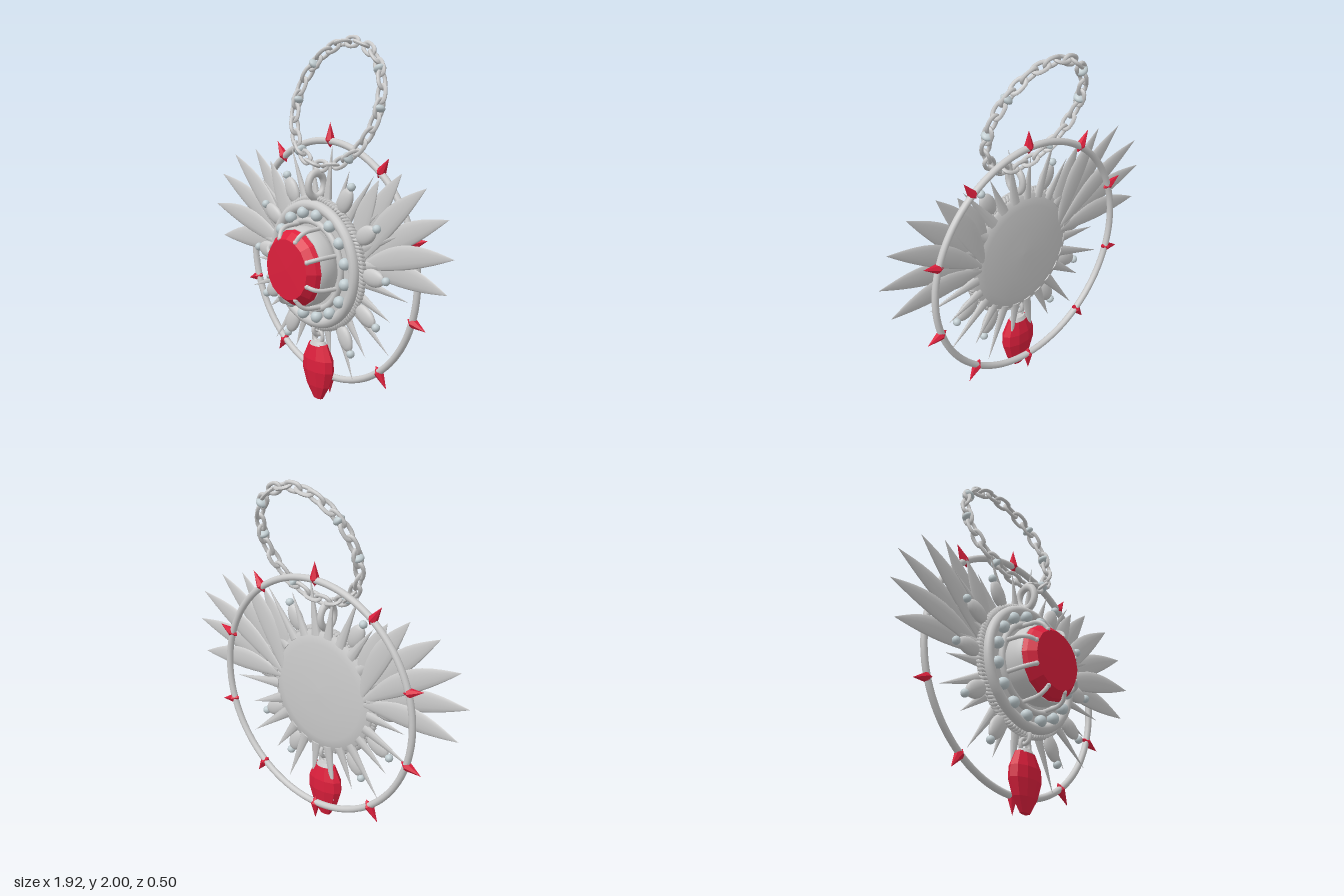
import * as THREE from 'three';

const silver = new THREE.MeshStandardMaterial({ color: 0xcccccc });
const pale = new THREE.MeshStandardMaterial({ color: 0xc2ced2 });
const red = new THREE.MeshStandardMaterial({ color: 0xdc1f3c, flatShading: true });
const V = (x, y, z = 0) => new THREE.Vector3(x, y, z);

function add(parent, name, geo, mat = silver, pos = [0, 0, 0]) {
  const m = new THREE.Mesh(geo, mat);
  m.name = name;
  m.position.set(...pos);
  parent.add(m);
  return m;
}

// Lathe around the z axis from [radius, z] pairs, back to front
const latheZ = (pts, seg = 64) =>
  new THREE.LatheGeometry(pts.map(p => new THREE.Vector2(p[0], p[1])), seg).rotateX(Math.PI / 2);

// Calls fn with a pivot turned by each of n even angles
function around(parent, n, start, fn) {
  for (let i = 0; i < n; i++) {
    const pivot = new THREE.Group();
    pivot.rotation.z = start + (i / n) * Math.PI * 2;
    parent.add(pivot);
    fn(pivot, i);
  }
}

// Pointed leaf along +x, fattest near the middle, arched sideways by bend
function leaf(length, width, thick, bend) {
  const g = new THREE.SphereGeometry(1, 12, 16).rotateZ(-Math.PI / 2);
  const p = g.attributes.position;
  for (let i = 0; i < p.count; i++) {
    const t = THREE.MathUtils.clamp((p.getX(i) + 1) / 2, 0, 1);
    const r = Math.hypot(p.getY(i), p.getZ(i)) || 1;
    const w = Math.sin(Math.PI * t) * (0.92 + 0.16 * t);
    p.setXYZ(i, t * length,
      (p.getY(i) / r) * w * width / 2 + bend * Math.sin(Math.PI * t),
      (p.getZ(i) / r) * w * thick / 2);
  }
  g.computeVertexNormals();
  return g;
}

// Helical strand wound round a ring
function strand(R, r, turns, phase, z) {
  const pts = [];
  const n = turns * 6;
  for (let i = 0; i < n; i++) {
    const a = (i / n) * Math.PI * 2, b = a * turns + phase;
    const q = R + r * Math.cos(b);
    pts.push(V(q * Math.cos(a), q * Math.sin(a), z + r * Math.sin(b)));
  }
  return new THREE.TubeGeometry(new THREE.CatmullRomCurve3(pts, true), n, 0.012, 5, true);
}

function medallion() {
  const g = new THREE.Group();
  g.name = 'medallion';
  add(g, 'backPlate', latheZ([[0, -0.025], [0.15, -0.022], [0.28, -0.012], [0.345, 0.0], [0.355, 0.02], [0.345, 0.05], [0.3, 0.06], [0, 0.062]]));
  add(g, 'outerRim', new THREE.TorusGeometry(0.322, 0.03, 12, 72), silver, [0, 0, 0.065]);
  add(g, 'innerRim', new THREE.TorusGeometry(0.242, 0.018, 10, 64), silver, [0, 0, 0.085]);
  for (let k = 0; k < 2; k++) add(g, 'ropeStrand', strand(0.352, 0.013, 55, k * Math.PI, 0.035));
  around(g, 16, Math.PI / 16, p =>
    add(p, 'rimBead', new THREE.SphereGeometry(0.033, 14, 10), pale, [0.285, 0, 0.09]));

  // Stone in its cup, held by eight claws
  add(g, 'stoneCup', latheZ([[0.19, 0.06], [0.205, 0.08], [0.216, 0.11], [0.217, 0.15], [0.21, 0.185], [0.2, 0.19], [0.18, 0.17]]));
  add(g, 'mainStone', latheZ([[0.1, 0.1], [0.195, 0.165], [0.208, 0.19], [0.198, 0.215], [0.165, 0.255], [0, 0.257]], 16), red);
  const claw = new THREE.CatmullRomCurve3([V(0.235, 0, 0.07), V(0.232, 0, 0.13), V(0.226, 0, 0.19), V(0.205, 0, 0.225), V(0.17, 0, 0.245)]);
  around(g, 8, Math.PI / 8, p => {
    add(p, 'claw', new THREE.TubeGeometry(claw, 16, 0.012, 8));
    add(p, 'clawTip', new THREE.SphereGeometry(0.014, 8, 8), silver, [0.17, 0, 0.245]);
  });

  // Petals ending in small beads
  around(g, 12, 0, (p, i) => {
    if (i === 3 || i === 9) return;
    add(p, 'petal', new THREE.SphereGeometry(1, 16, 12).scale(0.08, 0.048, 0.025), silver, [0.43, 0, 0.03]);
    add(p, 'petalBead', new THREE.SphereGeometry(0.023, 12, 8), pale, [0.522, 0, 0.03]);
  });

  // Thin spikes of two lengths behind the petals
  around(g, 24, Math.PI / 24, (p, i) => {
    const len = i % 2 ? 0.34 : 0.25;
    const cone = new THREE.ConeGeometry(0.034, len, 8).rotateZ(-Math.PI / 2).scale(1, 1, 0.5);
    add(p, 'spike', cone, silver, [0.325 + len / 2, 0, 0.005]);
  });
  return g;
}

function wing() {
  const g = new THREE.Group();
  const root = V(0.26, 0.01);
  const tips = [[0.91, 0.0], [0.96, 0.19], [0.91, 0.375], [0.77, 0.51], [0.59, 0.56], [0.44, 0.51]];
  tips.forEach(([x, y], i) => {
    const d = V(x, y).sub(root);
    const f = add(g, 'feather', leaf(d.length(), 0.125, 0.028, 0.035), silver, [root.x, root.y, (i % 2) * 0.012 - 0.006]);
    f.rotation.z = Math.atan2(d.y, d.x);
  });
  return g;
}

function halo() {
  const g = new THREE.Group();
  g.name = 'halo';
  add(g, 'haloRing', new THREE.TorusGeometry(0.662, 0.019, 12, 96));
  const dart = new THREE.LatheGeometry([[0, -0.04], [0.028, 0], [0, 0.097]].map(p => new THREE.Vector2(...p)), 6).rotateZ(-Math.PI / 2);
  around(g, 10, Math.PI / 2, p => add(p, 'haloDart', dart, red, [0.666, 0, 0]));
  return g;
}

function chain() {
  const g = new THREE.Group();
  g.name = 'chain';
  const n = 28, a = 0.325, b = 0.343;
  const place = (m, t) => {
    m.position.set(a * Math.cos(t), b * Math.sin(t), 0);
    m.rotation.z = Math.atan2(b * Math.cos(t), -a * Math.sin(t));
  };
  const link = new THREE.TorusGeometry(0.027, 0.0105, 8, 20);
  const p = link.attributes.position;
  for (let i = 0; i < p.count; i++) p.setX(i, p.getX(i) + Math.tanh(p.getX(i) * 60) * 0.022);
  link.computeVertexNormals();
  for (let i = 0; i < n; i++) {
    const holder = new THREE.Group();
    place(holder, -Math.PI / 2 + (i / n) * Math.PI * 2);
    g.add(holder);
    add(holder, 'chainLink', link).rotation.x = i % 2 ? Math.PI / 2 : 0;
  }
  for (const deg of [37, 0, -54, 143, 180, 234])
    place(add(g, 'chainBead', new THREE.SphereGeometry(1, 14, 10).scale(0.021, 0.034, 0.034), pale), deg * Math.PI / 180);
  g.position.set(0, 1.645, -0.1);
  g.rotation.x = -0.33;
  return g;
}

function drop() {
  const g = new THREE.Group();
  g.name = 'drop';
  const profile = [[0, 0.008], [0.035, 0.018], [0.085, 0.095], [0.115, 0.185], [0.112, 0.25], [0.07, 0.335], [0, 0.337]];
  const stone = new THREE.LatheGeometry(profile.map(p => new THREE.Vector2(...p)), 10).rotateY(Math.PI / 10).scale(1, 1, 0.48);
  add(g, 'dropStone', stone, red, [0, 0, 0.03]);
  add(g, 'dropCap', new THREE.CylinderGeometry(0.045, 0.06, 0.022, 20).scale(1, 1, 0.65), silver, [0, 0.34, 0.03]);
  add(g, 'dropRing', new THREE.TorusGeometry(0.036, 0.011, 8, 24), silver, [0, 0.375, 0.03]);
  add(g, 'dropLoop', new THREE.TorusGeometry(0.035, 0.012, 8, 24).rotateY(Math.PI / 2), silver, [0, 0.42, 0.03]);
  return g;
}

export function createModel() {
  const model = new THREE.Group();
  const body = medallion();
  body.position.y = 0.79;
  model.add(body);

  // Feather wings, mirrored
  for (const s of [1, -1]) {
    const w = wing();
    w.name = s > 0 ? 'leftWing' : 'rightWing';
    w.position.y = 0.79;
    w.scale.x = s;
    model.add(w);
  }

  const ring = halo();
  ring.position.set(0, 0.787, -0.055);
  model.add(ring);

  // Bail joining medallion and chain
  add(model, 'bail', new THREE.TorusGeometry(0.055, 0.019, 10, 32).rotateY(Math.PI / 2).scale(1, 1.2, 1), silver, [0, 1.22, 0.045]);
  model.add(chain(), drop());
  return model;
}
